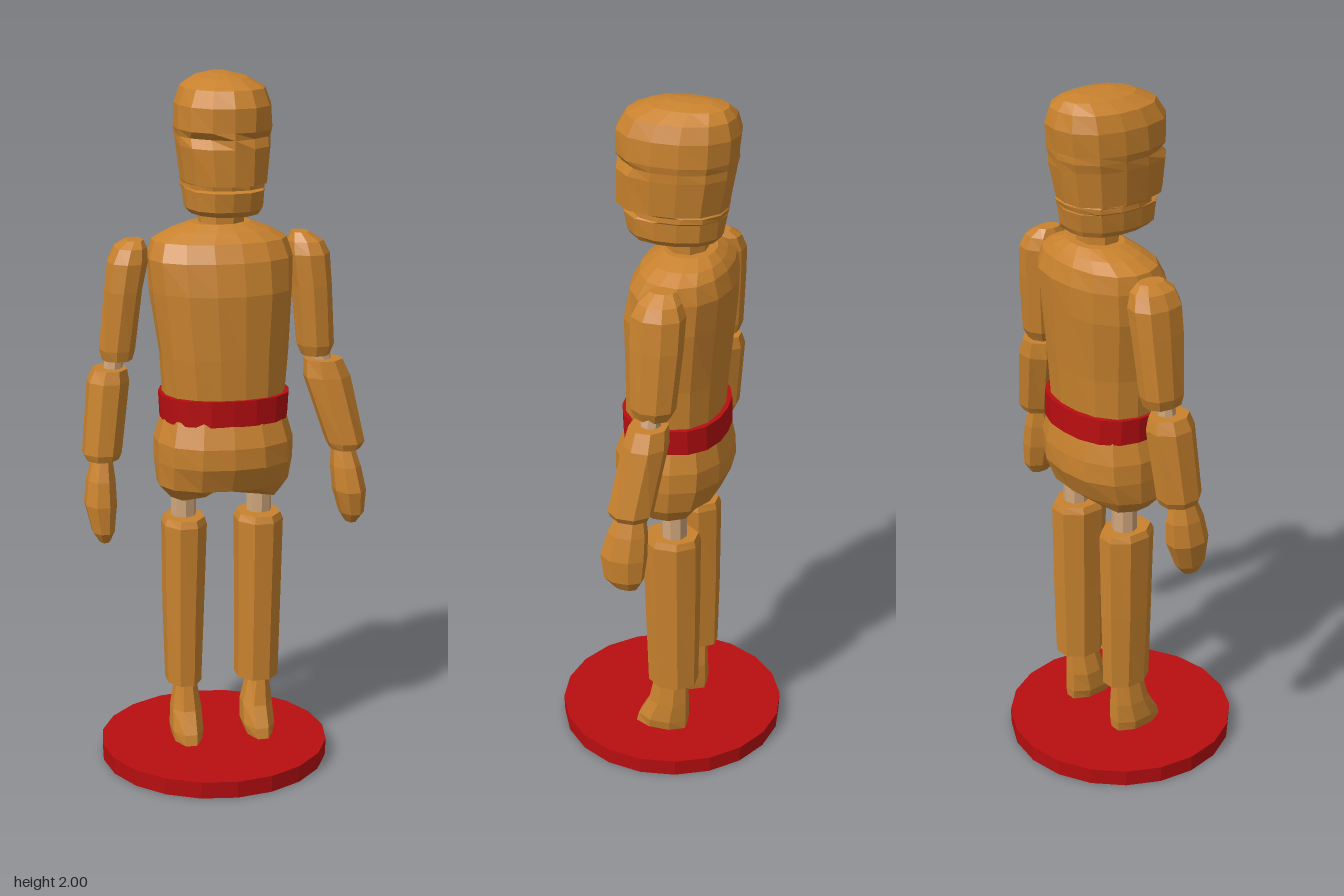
import * as THREE from 'three';

const makeMaterial = (name, color) => {
  const m = new THREE.MeshStandardMaterial({ color, flatShading: true });
  m.name = name;
  return m;
};

// Rounded loft. Each ring, listed from the bottom up, is [y, xMin, xMax, zBack, zFront].
function loft(rings, { sides = 10, power = 2.5, carve = 0.003, rule = null } = {}) {
  const loops = rings.map(([y, x0, x1, z0, z1], r) => {
    const loop = [];
    for (let i = 0; i < sides; i++) {
      const a = ((i + 0.5) / sides) * Math.PI * 2;
      const c = Math.cos(a), s = Math.sin(a);
      const k = Math.pow(Math.abs(c) ** power + Math.abs(s) ** power, -1 / power);
      const nick = 1 - carve * 8 * (0.5 + 0.5 * Math.sin(i * 5.3 + r * 3.7)); // knife marks
      loop.push(new THREE.Vector3(
        (x0 + x1) / 2 + ((x1 - x0) / 2) * c * k * nick, y,
        (z0 + z1) / 2 + ((z1 - z0) / 2) * s * k * nick));
    }
    return loop;
  });
  const middle = ([y, x0, x1, z0, z1]) => new THREE.Vector3((x0 + x1) / 2, y, (z0 + z1) / 2);
  const low = middle(rings[0]), high = middle(rings[rings.length - 1]);
  if (rule) [low, high, ...loops.flat()].forEach(rule);

  const pos = [];
  const tri = (...pts) => pts.forEach((p) => pos.push(p.x, p.y, p.z));
  for (let i = 0; i < sides; i++) {
    const j = (i + 1) % sides;
    for (let r = 0; r < loops.length - 1; r++) {
      const a = loops[r], b = loops[r + 1];
      tri(a[i], b[i], b[j]);
      tri(a[i], b[j], a[j]);
    }
    const top = loops[loops.length - 1];
    tri(low, loops[0][i], loops[0][j]);
    tri(high, top[j], top[i]);
  }
  const g = new THREE.BufferGeometry();
  g.setAttribute('position', new THREE.Float32BufferAttribute(pos, 3));
  g.computeVertexNormals();
  return g;
}

// Straight round peg between two points.
function peg(from, to, radius) {
  const a = new THREE.Vector3(...from), b = new THREE.Vector3(...to);
  const dir = b.clone().sub(a);
  const g = new THREE.CylinderGeometry(radius, radius, dir.length(), 8);
  g.applyQuaternion(new THREE.Quaternion().setFromUnitVectors(new THREE.Vector3(0, 1, 0), dir.normalize()));
  const c = a.add(b).multiplyScalar(0.5);
  return g.translate(c.x, c.y, c.z);
}

export function createModel() {
  const wood = makeMaterial('wood', 0xc8822e);
  const red = makeMaterial('red paint', 0xb80e10);
  const pale = makeMaterial('pale peg wood', 0xd0a67c);
  const model = new THREE.Group();
  model.name = 'woodenFigure';
  const add = (name, geometry, material = wood) => {
    const mesh = new THREE.Mesh(geometry, material);
    mesh.name = name;
    model.add(mesh);
  };

  // Round stand, set a little to one side
  add('base', new THREE.CylinderGeometry(0.334, 0.332, 0.05, 20).translate(-0.037, 0.025, 0), red);

  // Feet, legs and hip pegs
  add('rightFoot', loft([
    [0.05, -0.16, -0.075, -0.09, 0.075], [0.08, -0.165, -0.07, -0.092, 0.068],
    [0.14, -0.16, -0.07, -0.092, 0.03], [0.23, -0.145, -0.085, -0.088, 0.01],
  ], { sides: 8 }));
  add('leftFoot', loft([
    [0.05, 0.06, 0.14, -0.09, 0.07], [0.08, 0.05, 0.147, -0.092, 0.064],
    [0.14, 0.052, 0.145, -0.092, 0.03], [0.23, 0.075, 0.135, -0.088, 0.01],
  ], { sides: 8 }));
  add('rightLeg', loft([
    [0.22, -0.172, -0.068, -0.12, 0.027], [0.45, -0.178, -0.06, -0.123, 0.035],
    [0.71, -0.18, -0.05, -0.126, 0.042], [0.73, -0.172, -0.058, -0.118, 0.034],
  ], { sides: 8 }));
  add('leftLeg', loft([
    [0.22, 0.038, 0.165, -0.12, 0.027], [0.45, 0.038, 0.17, -0.123, 0.035],
    [0.71, 0.036, 0.177, -0.126, 0.042], [0.73, 0.044, 0.168, -0.118, 0.034],
  ], { sides: 8 }));
  add('rightHipPeg', peg([-0.115, 0.7, -0.05], [-0.115, 0.9, -0.05], 0.037), pale);
  add('leftHipPeg', peg([0.11, 0.7, -0.05], [0.11, 0.9, -0.05], 0.037), pale);

  // Pelvis with the underside lifted between the legs
  add('pelvis', loft([
    [0.8, -0.165, 0.16, -0.125, 0.08], [0.84, -0.198, 0.185, -0.155, 0.115],
    [0.91, -0.206, 0.2, -0.186, 0.142], [0.97, -0.202, 0.195, -0.188, 0.145],
    [1.04, -0.185, 0.18, -0.172, 0.118],
  ], {
    sides: 14, power: 2.4,
    rule: (v) => {
      if (v.y < 0.82) v.y += 0.06 * Math.max(0, 1 - Math.abs(v.x) / 0.1);
    },
  }));

  // Belt
  add('belt', loft([
    [1.03, -0.184, 0.182, -0.176, 0.12], [1.105, -0.188, 0.186, -0.174, 0.122],
  ], { sides: 18, power: 2.4, carve: 0 }), red);

  // Torso and neck
  add('torso', loft([
    [1.09, -0.177, 0.175, -0.163, 0.113], [1.22, -0.188, 0.185, -0.17, 0.116],
    [1.4, -0.212, 0.2, -0.188, 0.115], [1.49, -0.216, 0.2, -0.192, 0.1],
    [1.54, -0.205, 0.188, -0.178, 0.07], [1.565, -0.15, 0.14, -0.16, 0.04],
    [1.585, -0.09, 0.085, -0.135, 0.01],
  ], { sides: 16, power: 2.3 }));
  add('neck', loft([
    [1.55, -0.068, 0.062, -0.112, 0.002], [1.66, -0.066, 0.062, -0.112, 0.002],
  ], { sides: 8 }));

  // Head with a cut mouth and shallow eye hollows
  add('head', loft([
    [1.62, -0.1, 0.095, -0.148, 0.1], [1.635, -0.112, 0.106, -0.156, 0.115],
    [1.688, -0.119, 0.112, -0.165, 0.122], [1.692, -0.12, 0.112, -0.166, 0.1],
    [1.706, -0.121, 0.114, -0.168, 0.1], [1.71, -0.122, 0.115, -0.169, 0.143],
    [1.81, -0.135, 0.126, -0.187, 0.146], [1.835, -0.137, 0.128, -0.191, 0.144],
    [1.855, -0.139, 0.13, -0.194, 0.146], [1.92, -0.138, 0.13, -0.198, 0.143],
    [1.965, -0.118, 0.112, -0.188, 0.118], [1.99, -0.075, 0.07, -0.165, 0.06],
    [2.0, -0.03, 0.025, -0.12, 0.0],
  ], {
    sides: 14, power: 2.4,
    rule: (v) => {
      if (Math.abs(v.y - 1.835) < 0.004 && v.z > 0.05 && Math.abs(v.x) > 0.04) v.z -= 0.02;
    },
  }));

  // Right arm, hanging a little further back
  add('rightUpperArm', loft([
    [1.2, -0.345, -0.258, -0.125, -0.015], [1.23, -0.352, -0.25, -0.135, -0.008],
    [1.4, -0.335, -0.228, -0.148, 0.006], [1.48, -0.326, -0.212, -0.15, 0.008],
    [1.52, -0.305, -0.212, -0.138, -0.005], [1.54, -0.275, -0.222, -0.11, -0.03],
  ], { sides: 9 }));
  add('rightElbowPeg', peg([-0.322, 1.1, -0.065], [-0.3, 1.28, -0.068], 0.027), pale);
  add('rightForearm', loft([
    [0.915, -0.4, -0.305, -0.105, 0.01], [0.935, -0.408, -0.296, -0.114, 0.018],
    [1.14, -0.388, -0.268, -0.135, 0.006], [1.175, -0.372, -0.275, -0.125, -0.005],
  ], { sides: 8 }));
  add('rightHand', loft([
    [0.68, -0.37, -0.34, -0.03, 0.02], [0.71, -0.39, -0.326, -0.055, 0.038],
    [0.79, -0.408, -0.315, -0.09, 0.04], [0.86, -0.4, -0.318, -0.09, 0.025],
    [0.925, -0.38, -0.325, -0.075, 0.0],
  ], { sides: 8 }));

  // Left arm, reaching slightly forward
  add('leftUpperArm', loft([
    [1.195, 0.228, 0.31, -0.085, 0.015], [1.225, 0.216, 0.323, -0.1, 0.025],
    [1.4, 0.2, 0.316, -0.118, 0.03], [1.49, 0.186, 0.308, -0.12, 0.028],
    [1.525, 0.19, 0.292, -0.108, 0.012], [1.55, 0.2, 0.25, -0.085, -0.015],
  ], { sides: 9 }));
  add('leftElbowPeg', peg([0.303, 1.1, -0.03], [0.27, 1.28, -0.042], 0.029), pale);
  add('leftForearm', loft([
    [0.92, 0.308, 0.395, -0.05, 0.058], [0.94, 0.297, 0.408, -0.06, 0.066],
    [1.13, 0.236, 0.373, -0.09, 0.034], [1.18, 0.238, 0.348, -0.085, 0.022],
  ], { sides: 8 }));
  add('leftHand', loft([
    [0.7, 0.352, 0.388, -0.02, 0.045], [0.73, 0.335, 0.405, -0.038, 0.075],
    [0.8, 0.315, 0.41, -0.046, 0.087], [0.87, 0.31, 0.395, -0.044, 0.068],
    [0.935, 0.315, 0.375, -0.035, 0.04],
  ], { sides: 8 }));

  return model;
}
